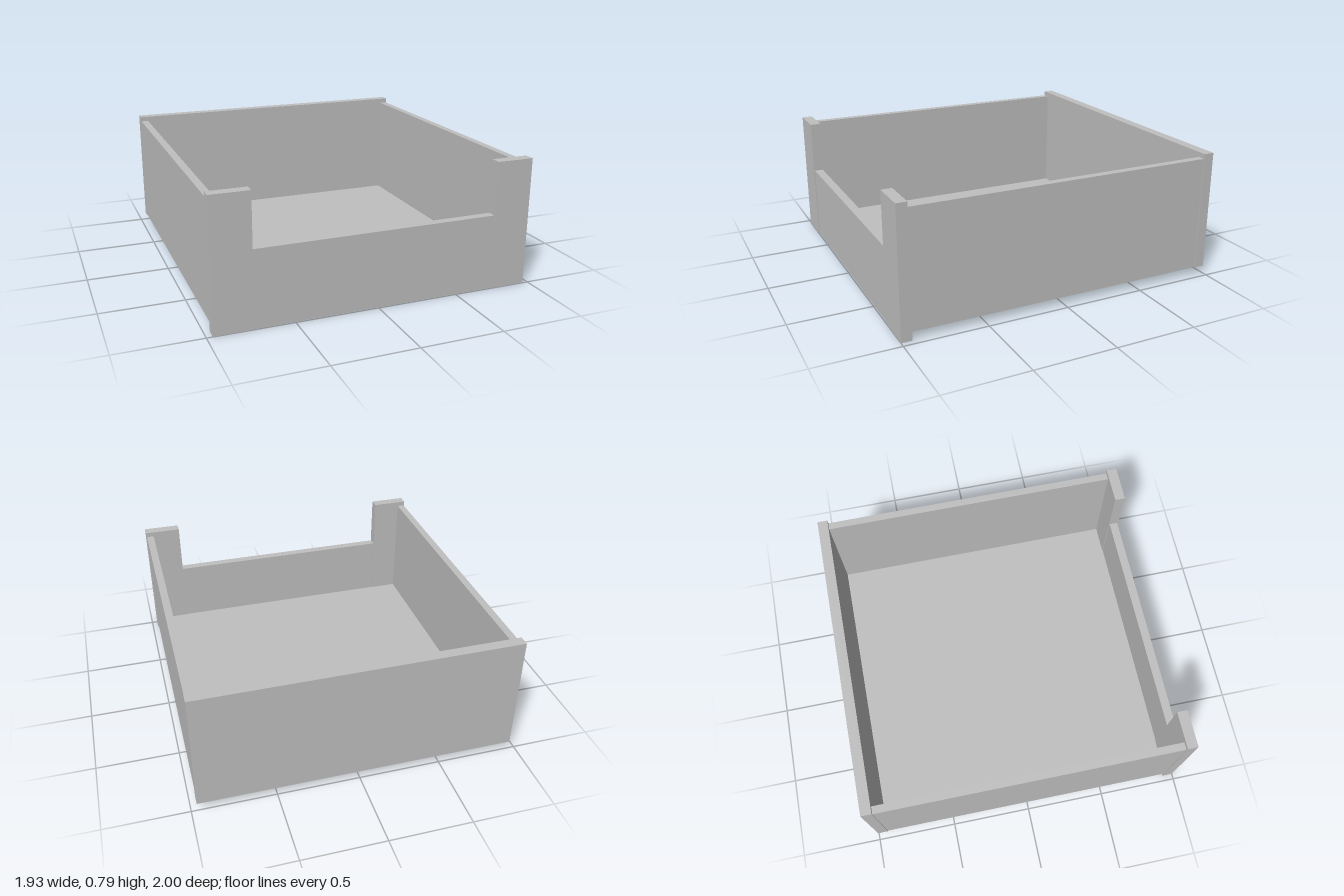
import * as THREE from 'three';

export function createModel() {
  const group = new THREE.Group();
  const grey = new THREE.MeshStandardMaterial({ color: 0xc0c0c0 });
  grey.name = 'plain grey';

  // Box given by its lower and upper corners
  function panel(name, x0, x1, y0, y1, z0, z1) {
    const mesh = new THREE.Mesh(new THREE.BoxGeometry(x1 - x0, y1 - y0, z1 - z0), grey);
    mesh.position.set((x0 + x1) / 2, (y0 + y1) / 2, (z0 + z1) / 2);
    mesh.name = name;
    group.add(mesh);
  }

  // Back wall, low front wall and raised floor
  panel('backPanel', -0.965, 0.965, 0.05, 0.785, -1, -0.935);
  panel('frontPanel', -0.735, 0.735, 0, 0.46, 0.94, 0.993);
  panel('floor', -0.915, 0.915, 0.055, 0.07, -0.935, 0.938);

  // Side walls and tall front posts, mirrored
  for (const s of [-1, 1]) {
    const side = s < 0 ? 'right' : 'left';
    const span = (a, b) => (s < 0 ? [-b, -a] : [a, b]);
    panel(side + 'SidePanel', ...span(0.915, 0.961), 0.05, 0.755, -0.935, 0.935);
    panel(side + 'FrontPost', ...span(0.735, 0.965), 0, 0.785, 0.935, 1);
  }
  return group;
}
